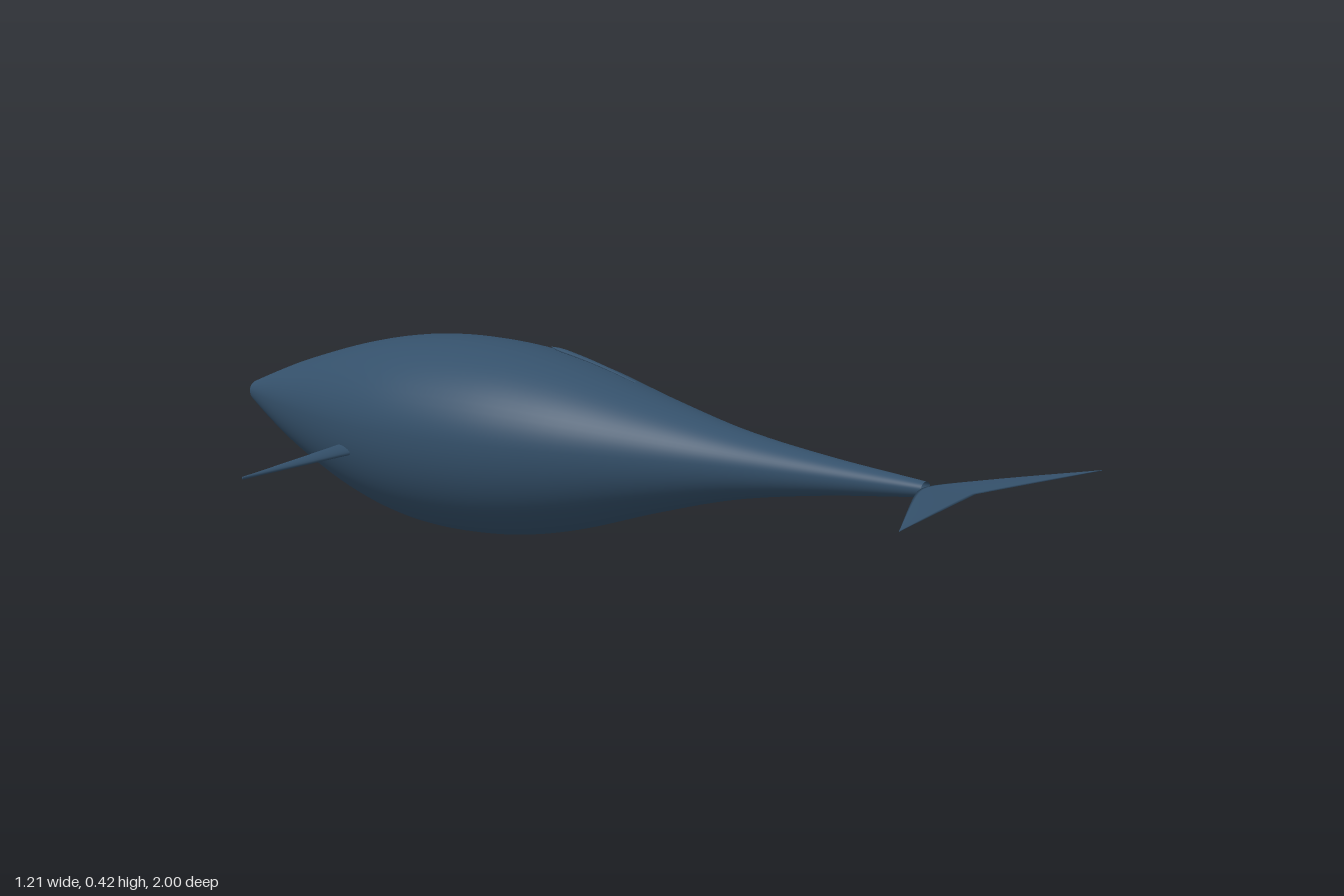
import * as THREE from 'three';

const AXIS_Y = 0.236; // height of the body's centre line

// Skin a list of closed rings (each an array of Vector3)
function loft(rings) {
  const n = rings[0].length, pos = [], idx = [];
  rings.forEach(r => r.forEach(p => pos.push(p.x, p.y, p.z)));
  for (let i = 0; i < rings.length - 1; i++) {
    for (let j = 0; j < n; j++) {
      const a = i * n + j, b = i * n + (j + 1) % n;
      idx.push(a, b, b + n, a, b + n, a + n);
    }
  }
  const g = new THREE.BufferGeometry();
  g.setAttribute('position', new THREE.Float32BufferAttribute(pos, 3));
  g.setIndex(idx);
  g.computeVertexNormals();
  return g;
}

function ring(n, fn) {
  return Array.from({ length: n }, (_, j) => {
    const a = j / n * Math.PI * 2;
    return new THREE.Vector3(...fn(Math.cos(a), Math.sin(a)));
  });
}

// Body: open at snout and tail, flatter above than below
function bodyGeometry() {
  const profile = [
    [-1, 0.028], [-0.9, 0.075], [-0.8, 0.118], [-0.6, 0.188], [-0.45, 0.222], [-0.32, 0.232],
    [-0.15, 0.222], [0, 0.192], [0.2, 0.131], [0.4, 0.077], [0.6, 0.043], [0.83, 0.016]
  ];
  const curve = new THREE.CatmullRomCurve3(profile.map(([z, r]) => new THREE.Vector3(r, 0, z)));
  return loft(curve.getPoints(64).map(p => ring(64, (c, s) =>
    [p.x * c, AXIS_Y + p.x * s * (s > 0 ? 0.795 : 1.015), p.z])));
}

// Flipper: slim tilted blade with a flat root, sweeping back to its tip
function flipperGeometry(side) {
  const rings = [];
  for (let i = 0; i <= 10; i++) {
    const t = i / 10;
    const lead = -0.445 + 0.077 * t, trail = -0.405 + 0.041 * t;
    const mid = (lead + trail) / 2, half = (trail - lead) / 2;
    const thick = 0.008 - 0.005 * t, y = 0.197 - 0.004 * t;
    rings.push(ring(16, (c, s) => [
      side * (0.275 + 0.33 * t), y - c * 0.006 * (1 - t) + s * thick, mid + c * half]));
  }
  const cap = r => {
    const m = r.reduce((a, p) => a.add(p), new THREE.Vector3()).divideScalar(r.length);
    return r.map(() => m.clone());
  };
  const root = rings[0], tip = rings[10];
  return loft([cap(root), root.map(p => p.clone()), ...rings, cap(tip)]);
}

// Dorsal fin: low sliver lying along the back
function dorsalGeometry() {
  const rings = [];
  for (let i = 0; i <= 12; i++) {
    const t = i / 12;
    const w = 0.011 * Math.sqrt(Math.min(1, t * 6)) * (1 - 0.6 * t);
    const y = 0.418 - 0.052 * t + 0.004 * Math.sin(t * Math.PI);
    rings.push(ring(12, (c, s) => [w * c, y + 0.35 * w * s, -0.085 + 0.225 * t]));
  }
  return loft(rings);
}

// Tail flukes: one thin swept blade spanning both sides
function flukeGeometry() {
  const rings = [];
  for (let i = -16; i <= 16; i++) {
    const t = Math.abs(i) / 16;
    const lead = 0.83 + 0.17 * (Math.sqrt(t * t + 0.012) - 0.11) / 0.896;
    const trail = 0.935 + 0.065 * t;
    const mid = (lead + trail) / 2, half = Math.max(0.0005, (trail - lead) / 2);
    const thick = 0.0008 + 0.002 * Math.sin(t * Math.PI);
    rings.push(ring(12, (c, s) => [0.355 * i / 16, 0.239 + s * thick, mid + c * half]));
  }
  return loft(rings);
}

export function createModel() {
  const skin = new THREE.MeshStandardMaterial({ color: 0x34506a, side: THREE.DoubleSide });
  skin.name = 'slateBlueSkin';
  const model = new THREE.Group();
  model.name = 'whale';
  const add = (name, geometry) => {
    const mesh = new THREE.Mesh(geometry, skin);
    mesh.name = name;
    model.add(mesh);
  };
  add('body', bodyGeometry());
  add('leftFlipper', flipperGeometry(1));
  add('rightFlipper', flipperGeometry(-1));
  add('dorsalFin', dorsalGeometry());
  add('tailFlukes', flukeGeometry());
  return model;
}
